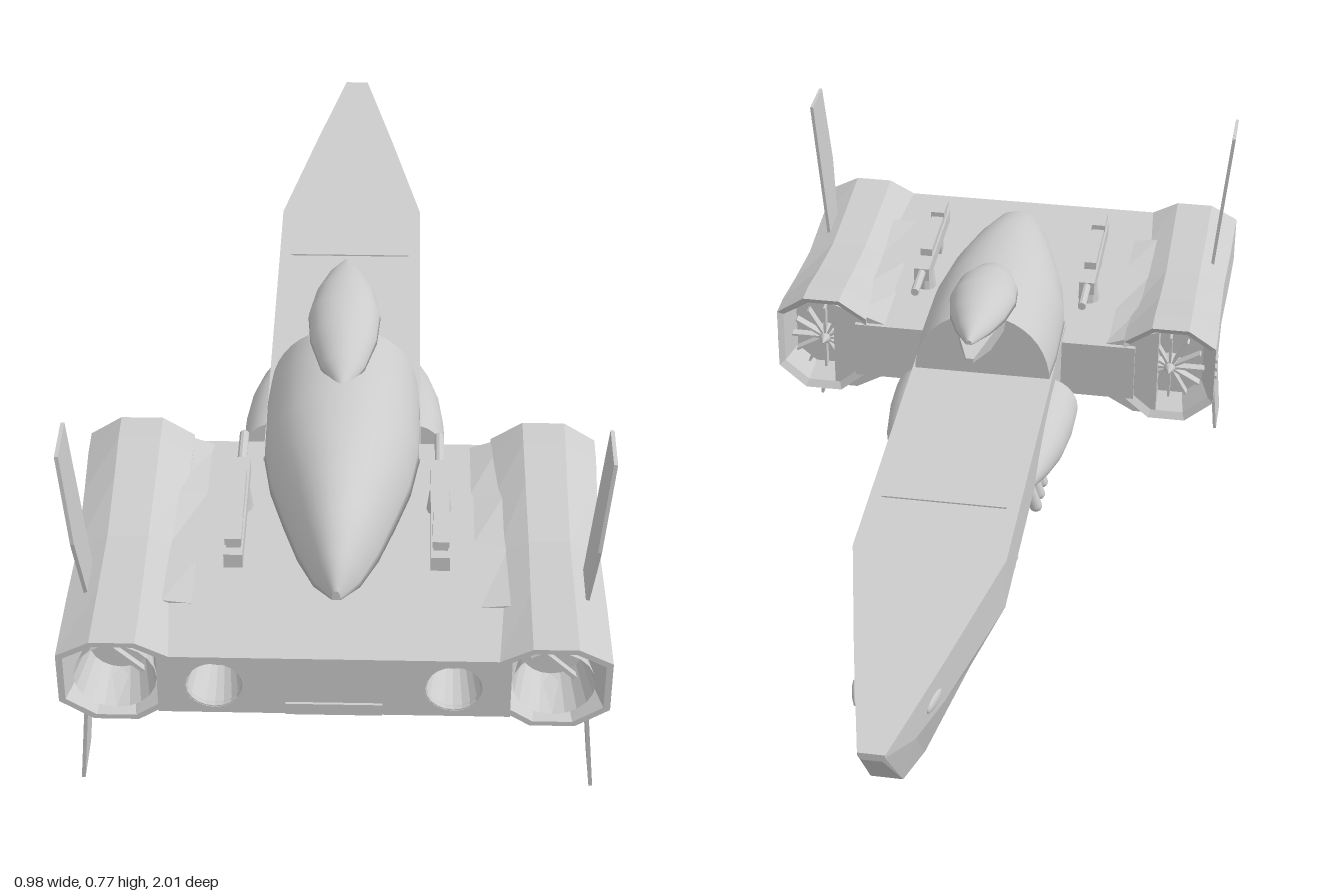
import * as THREE from 'three';

const flat = new THREE.MeshStandardMaterial({ color: 0xcccccc, flatShading: true, side: THREE.DoubleSide });
const smooth = new THREE.MeshStandardMaterial({ color: 0xcccccc, side: THREE.DoubleSide });

// Skin between rings of [x, y], listed as { z, pts } from -z to +z, closed with end caps
function loft(sections, capped = true) {
  const n = sections[0].pts.length, pos = [], idx = [];
  sections.forEach(({ z, pts }) => pts.forEach(([x, y]) => pos.push(x, y, z)));
  for (let k = 0; k < sections.length - 1; k++)
    for (let i = 0; i < n; i++) {
      const a = k * n + i, b = k * n + (i + 1) % n;
      idx.push(a, b, b + n, a, b + n, a + n);
    }
  if (capped) [0, sections.length - 1].forEach((k) => {
    const { z, pts } = sections[k], base = pos.length / 3;
    pts.forEach(([x, y]) => pos.push(x, y, z));
    pos.push(pts.reduce((s, p) => s + p[0], 0) / n, pts.reduce((s, p) => s + p[1], 0) / n, z);
    for (let i = 0; i < n; i++) {
      const a = base + i, b = base + (i + 1) % n;
      idx.push(base + n, ...(k ? [a, b] : [b, a]));
    }
  });
  const g = new THREE.BufferGeometry();
  g.setAttribute('position', new THREE.Float32BufferAttribute(pos, 3));
  g.setIndex(idx);
  g.computeVertexNormals();
  return g;
}

// Counter-clockwise superellipse arc
function arc(w, h, cy, power = 2, n = 24, from = 0, to = 2 * Math.PI) {
  const full = to - from > 6, pts = [];
  for (let i = 0; i < (full ? n : n + 1); i++) {
    const t = from + (to - from) * i / n, c = Math.cos(t), s = Math.sin(t);
    pts.push([w * Math.sign(c) * Math.abs(c) ** (2 / power), cy + h * Math.sign(s) * Math.abs(s) ** (2 / power)]);
  }
  return pts;
}

export function createModel() {
  const model = new THREE.Group();
  const add = (name, geo, x = 0, y = 0, z = 0, mat = flat, parent = model) => {
    const m = new THREE.Mesh(geo, mat);
    m.name = name;
    m.position.set(x, y, z);
    parent.add(m);
    return m;
  };
  const box = (name, w, h, d, x, y, z) => add(name, new THREE.BoxGeometry(w, h, d), x, y, z);

  // Long hull: z, top half width, top y, bottom half width, bottom y
  const hull = [[-1, 0.025, 0.445, 0.02, 0.43], [-0.87, 0.054, 0.446, 0.03, 0.275], [-0.73, 0.085, 0.447, 0.045, 0.222],
    [-0.42, 0.15, 0.45, 0.08, 0.18], [0.45, 0.15, 0.45, 0.08, 0.18]];
  add('hull', loft(hull.map(([z, w, t, b, y]) => {
    const m = y + (t - y) * 0.58;
    return { z, pts: [[b, y], [w * 0.99, m], [w, t], [-w, t], [-w * 0.99, m], [-b, y]] };
  })));
  box('hullSeam', 0.25, 0.004, 0.008, 0, 0.451, -0.25);

  // Domed cowling: z, half width, height
  const cowl = [[0.225, 0.145, 0.155], [0.3, 0.15, 0.162], [0.45, 0.148, 0.164], [0.55, 0.132, 0.16], [0.65, 0.103, 0.147],
    [0.74, 0.074, 0.12], [0.81, 0.042, 0.08], [0.845, 0.008, 0.02]];
  add('cowling', loft(cowl.map(([z, w, h]) => ({ z, pts: arc(w, h, 0.44, 2.1, 20, 0, Math.PI) }))), 0, 0, 0, smooth);

  // Canopy bubble above an overhanging pointed tub
  const canopy = [[0.05, 0.006, 0.01, 0.63], [0.1, 0.036, 0.033, 0.627], [0.16, 0.058, 0.049, 0.624], [0.23, 0.07, 0.054, 0.621],
    [0.3, 0.064, 0.054, 0.612], [0.37, 0.042, 0.038, 0.6], [0.42, 0.008, 0.01, 0.592]];
  add('canopy', loft(canopy.map(([z, w, h, y]) => ({ z, pts: arc(w, h, y, 2, 16, 0, Math.PI) }))), 0, 0, 0, smooth);
  add('canopyTub', loft([[0.06, 0.008, 0.59, 0.58], [0.14, 0.04, 0.612, 0.565], [0.23, 0.058, 0.62, 0.56], [0.38, 0.03, 0.6, 0.56]]
    .map(([z, w, t, b]) => ({ z, pts: [[w * 0.8, b], [w, t], [-w, t], [-w * 0.8, b]] }))));

  // Belly tank with a hollow front intake: z, half width, depth
  const tank = [[0.42, 0.09, 0.2], [0.27, 0.115, 0.255], [0.26, 0.125, 0.27], [0.52, 0.125, 0.268], [0.6, 0.12, 0.258],
    [0.68, 0.107, 0.235], [0.73, 0.09, 0.2], [0.765, 0.06, 0.15]];
  add('bellyTank', loft(tank.map(([z, w, d]) => ({ z, pts: arc(w, d, 0.31, 1.55, 20, Math.PI, 2 * Math.PI) }))), 0, 0, 0, smooth);
  add('rearFairing', loft([[0.7, 0.195, 0.23], [0.77, 0.2, 0.245], [0.96, 0.285, 0.295]].map(([z, b, c]) => ({
    z, pts: [[0, c], [0.05, b], [0.09, 0.275], [0.12, 0.32], [-0.12, 0.32], [-0.09, 0.275], [-0.05, b]],
  }))));
  box('tailStep', 0.17, 0.025, 0.02, 0, 0.325, 0.995);

  // Wing slab whose rear edge holds the two small nozzle openings
  box('wing', 0.62, 0.13, 0.42, 0, 0.375, 0.6);
  const rear = new THREE.Shape([[-0.31, 0.31], [0.31, 0.31], [0.31, 0.44], [-0.31, 0.44]].map((p) => new THREE.Vector2(...p)));
  for (const s of [1, -1]) rear.holes.push(new THREE.Path().absarc(s * 0.21, 0.375, 0.052, 0, Math.PI * 2, true));
  add('wingRear', new THREE.ExtrudeGeometry(rear, { depth: 0.2, bevelEnabled: false, curveSegments: 16 }), 0, 0, 0.8);

  // Flared nacelle, hollow at both ends: z, half width, half height
  const nacelle = [[0.45, 0.07, 0.08], [0.4, 0.088, 0.1], [0.39, 0.1, 0.115], [0.45, 0.1, 0.113], [0.55, 0.097, 0.097],
    [0.7, 0.094, 0.08], [0.85, 0.098, 0.083], [1, 0.1, 0.09], [1, 0.088, 0.08], [0.92, 0.062, 0.06], [0.88, 0.058, 0.056]];
  const nacelleGeo = loft(nacelle.map(([z, w, h]) => ({
    z, pts: [[0.4, -1], [1, -0.55], [1, 0.65], [0.4, 1], [-0.4, 1], [-1, 0.65], [-1, -0.55], [-0.4, -1]].map(([x, y]) => [x * w, y * h]),
  })));

  const pod = [[-0.03, 0.005], [0.0, 0.02], [0.06, 0.042], [0.13, 0.06], [0.21, 0.069], [0.29, 0.07]];
  const podGeo = loft(pod.map(([z, r]) => ({ z, pts: arc(r, r, 0) })));

  for (const s of [1, -1]) {
    add('nacelle', nacelleGeo, s * 0.385, 0.38, 0);
    const blend = [[0.4, 0.04], [0.55, 0.02], [0.7, 0], [1, 0.01]];
    add('nacelleShoulder', loft(blend.map(([z, h]) => {
      const ring = [[0.24, 0.312], [0.31, 0.312 - h], [0.36, 0.312 - h], [0.36, 0.44 + h], [0.31, 0.44 + h * 0.6], [0.24, 0.438]];
      return { z: Math.min(z, 0.86), pts: s > 0 ? ring : ring.map(([x, y]) => [-x, y]).reverse() };
    })));

    // Nozzle interiors with a diagonal bar
    for (const [x, r, z] of [[0.385, 0.06, 0.92], [0.21, 0.042, 0.93]]) {
      const ringGeo = new THREE.CylinderGeometry(r * 1.22, r * 0.9, 0.09, 20, 1, true).rotateX(Math.PI / 2);
      add('nozzle', ringGeo, s * x, 0.377, z + 0.02);
      add('nozzleBack', new THREE.CircleGeometry(r, 20), s * x, 0.377, z - 0.02);
      box('nozzleBar', r * 2.1, 0.008, 0.012, s * x, 0.377, z).rotation.z = r > 0.05 ? -0.78 : 0;
    }
    add('nozzleRim', new THREE.TorusGeometry(0.053, 0.006, 6, 20), s * 0.21, 0.375, 1 - 0.006);

    // Fan blades in the front intake
    for (let i = 0; i < 12; i++)
      box('fanBlade', 0.075, 0.005, 0.02, s * 0.385 + 0.038 * Math.cos(i * Math.PI / 6), 0.38 + 0.038 * Math.sin(i * Math.PI / 6), 0.43)
        .rotation.z = i * Math.PI / 6;
    add('fanHub', new THREE.ConeGeometry(0.025, 0.05, 12).rotateX(-Math.PI / 2), s * 0.385, 0.38, 0.42);
    for (let i = 0; i < 3; i++) box('nacelleSlot', 0.008, 0.008, 0.03, s * 0.485, 0.375 + i * 0.02, 0.42);

    // Thin upper and lower fins, splayed outward at the tips
    for (const v of [1, -1]) {
      const outline = [[0.765, 0.05], [0.845, 0.05], [0.875, 0.2], [0.862, 0.386], [0.765, 0.386]];
      const shape = new THREE.Shape(outline.map(([z, y]) => new THREE.Vector2(z, v * y)));
      const geo = new THREE.ExtrudeGeometry(shape, { depth: 0.007, bevelEnabled: false }).translate(0, 0, -0.0035).rotateY(-Math.PI / 2);
      add(v > 0 ? 'upperFin' : 'lowerFin', geo, s * 0.441, 0.385, 0).rotation.z = -s * v * 0.093;
    }

    // Side pod with exhaust stubs below
    add('sidePod', podGeo, s * 0.13, 0.34, 0, smooth);
    for (let i = 0; i < 5; i++) {
      const stub = add('exhaustStub', new THREE.CapsuleGeometry(0.014, 0.045, 4, 10), s * 0.135, 0.262, 0.235 - i * 0.045, smooth);
      stub.rotation.z = s * 0.35;
    }

    // Hull vents and nose port
    for (let i = 0; i < 6; i++) {
      const h = 0.065 - i * 0.007;
      box('hullVent', 0.006, h, 0.008, s * 0.131, 0.292, -0.235 - i * 0.026).rotation.z = -s * 0.425;
    }
    const port = add('nosePort', new THREE.SphereGeometry(1, 12, 8), s * 0.073, 0.395, -0.785, smooth);
    port.scale.set(0.006, 0.014, 0.035);
    port.rotation.y = s * 0.21;

    // Gun on its pedestal above the wing
    const gun = new THREE.Group();
    gun.name = 'gun';
    gun.position.set(s * 0.185, 0, 0);
    model.add(gun);
    const part = (name, geo, y, z) => add(name, geo, 0, y, z, flat, gun);
    part('gunPedestal', new THREE.CylinderGeometry(0.018, 0.024, 0.05, 12), 0.46, 0.585);
    part('gunRearPost', new THREE.BoxGeometry(0.022, 0.05, 0.03), 0.46, 0.74);
    part('gunBody', new THREE.BoxGeometry(0.034, 0.03, 0.28), 0.497, 0.67);
    part('gunTop', new THREE.BoxGeometry(0.026, 0.018, 0.2), 0.52, 0.69);
    part('gunSight', new THREE.BoxGeometry(0.03, 0.014, 0.06), 0.533, 0.77);
    part('gunBarrel', new THREE.CylinderGeometry(0.009, 0.009, 0.1, 10).rotateX(Math.PI / 2), 0.502, 0.495);
  }
  return model;
}
